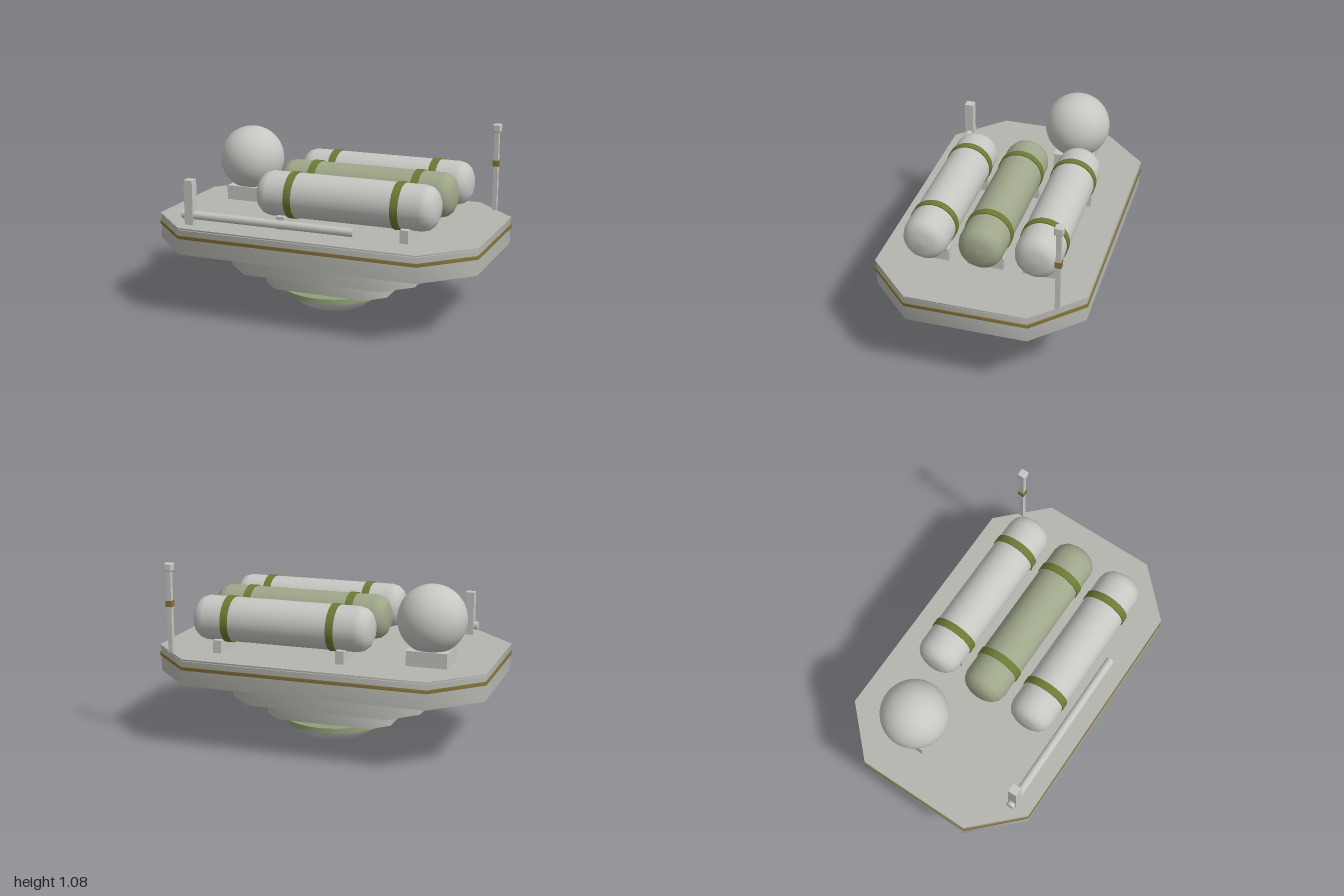
import * as THREE from 'three';
import { toCreasedNormals } from 'three/addons/utils/BufferGeometryUtils.js';
import { RoundedBoxGeometry } from 'three/addons/geometries/RoundedBoxGeometry.js';

const material = (name, color) => {
  const m = new THREE.MeshStandardMaterial({ color });
  m.name = name;
  return m;
};

export function createModel() {
  const model = new THREE.Group();
  model.name = 'equipmentPlatform';
  const hullGray = material('hull gray', 0xb5b5b0);
  const lightGray = material('light gray', 0xc6c6c2);
  const sage = material('sage green', 0x9ea68a);
  const ringGreen = material('ring green', 0x8f9f78);
  const olive = material('olive band', 0x6c7a35);
  const gold = material('dull gold', 0x84743c);

  function add(name, geometry, mat, x = 0, y = 0, z = 0, parent = model) {
    const mesh = new THREE.Mesh(geometry, mat);
    mesh.name = name;
    mesh.position.set(x, y, z);
    parent.add(mesh);
    return mesh;
  }

  // Eight-sided slab with cut corners, from y0 to y1
  function slab(name, hx, hz, cut, y0, y1, mat) {
    const a = hx - cut, b = hz - cut;
    const corners = [[a, -hz], [hx, -b], [hx, b], [a, hz], [-a, hz], [-hx, b], [-hx, -b], [-a, -hz]];
    const shape = new THREE.Shape(corners.map(([x, z]) => new THREE.Vector2(x, z)));
    const geo = new THREE.ExtrudeGeometry(shape, { depth: y1 - y0, bevelEnabled: false });
    geo.rotateX(-Math.PI / 2);
    add(name, toCreasedNormals(geo, 0.9), mat, 0, y0, 0);
  }

  const lathe = (points, segments = 48) =>
    new THREE.LatheGeometry(points.map(([r, y]) => new THREE.Vector2(r, y)), segments);

  const box = (name, w, h, d, x, y, z, mat = lightGray, parent = model) =>
    add(name, new THREE.BoxGeometry(w, h, d), mat, x, y, z, parent);

  // Stepped hull, trim band and deck plate
  slab('mainHull', 0.994, 0.617, 0.268, 0.388, 0.536, hullGray);
  slab('deckGroove', 0.985, 0.608, 0.265, 0.536, 0.541, hullGray);
  slab('deckPlate', 0.998, 0.621, 0.27, 0.541, 0.549, hullGray);
  slab('trimBand', 1, 0.623, 0.27, 0.483, 0.503, gold);
  slab('middleTier', 0.587, 0.375, 0.16, 0.228, 0.388, hullGray);
  slab('lowerTier', 0.39, 0.251, 0.105, 0.118, 0.228, hullGray);

  // Ring and shallow dish under the hull
  add('dishRing', new THREE.CylinderGeometry(0.322, 0.322, 0.031, 48), ringGreen, 0, 0.103, 0);
  add('dish', lathe([[0, 0], [0.12, 0.002], [0.2, 0.008], [0.25, 0.045], [0.268, 0.088]]), lightGray);

  // Three strapped tanks lying along x
  const length = 1.096, r = 0.132;
  const end = [[0, 0], [0.065, 0.004], [0.1, 0.022], [0.122, 0.048], [r, 0.085]];
  const profile = [...end, ...end.map(([x, y]) => [x, length - y]).reverse()];
  [-0.323, 0, 0.323].forEach((z, i) => {
    const tank = new THREE.Group();
    tank.name = ['backTank', 'middleTank', 'frontTank'][i];
    tank.position.set(0.212, 0.737, z);
    model.add(tank);
    const body = lathe(profile).translate(0, -length / 2, 0).rotateZ(-Math.PI / 2);
    add('tankBody', body, i === 1 ? sage : lightGray, 0, 0, 0, tank);
    for (const side of [-1, 1]) {
      const strap = new THREE.CylinderGeometry(0.138, 0.138, 0.045, 48).rotateZ(Math.PI / 2);
      add('tankStrap', strap, olive, side * 0.323, 0, 0, tank);
      box('tankCradle', 0.05, 0.078, 0.214, side * 0.378, -0.15, 0, lightGray, tank);
    }
  });

  // Round vessel on its block
  add('sphereVessel', new THREE.SphereGeometry(0.2, 48, 32), lightGray, -0.65, 0.804, -0.218);
  box('sphereBase', 0.24, 0.09, 0.24, -0.65, 0.593, -0.218);

  // Front boom and its post
  const boom = new THREE.CylinderGeometry(0.025, 0.025, 1.075, 12).rotateZ(Math.PI / 2);
  add('boom', boom, lightGray, -0.217, 0.604, 0.508);
  box('boomPost', 0.054, 0.267, 0.054, -0.703, 0.682, 0.508);

  // Antenna mast at the back left corner
  box('mast', 0.028, 0.49, 0.028, 0.858, 0.794, -0.484);
  box('mastCollar', 0.038, 0.036, 0.038, 0.858, 0.84, -0.484, gold);
  add('mastCap', new RoundedBoxGeometry(0.05, 0.048, 0.05, 2, 0.008), lightGray, 0.858, 1.056, -0.484);

  return model;
}
